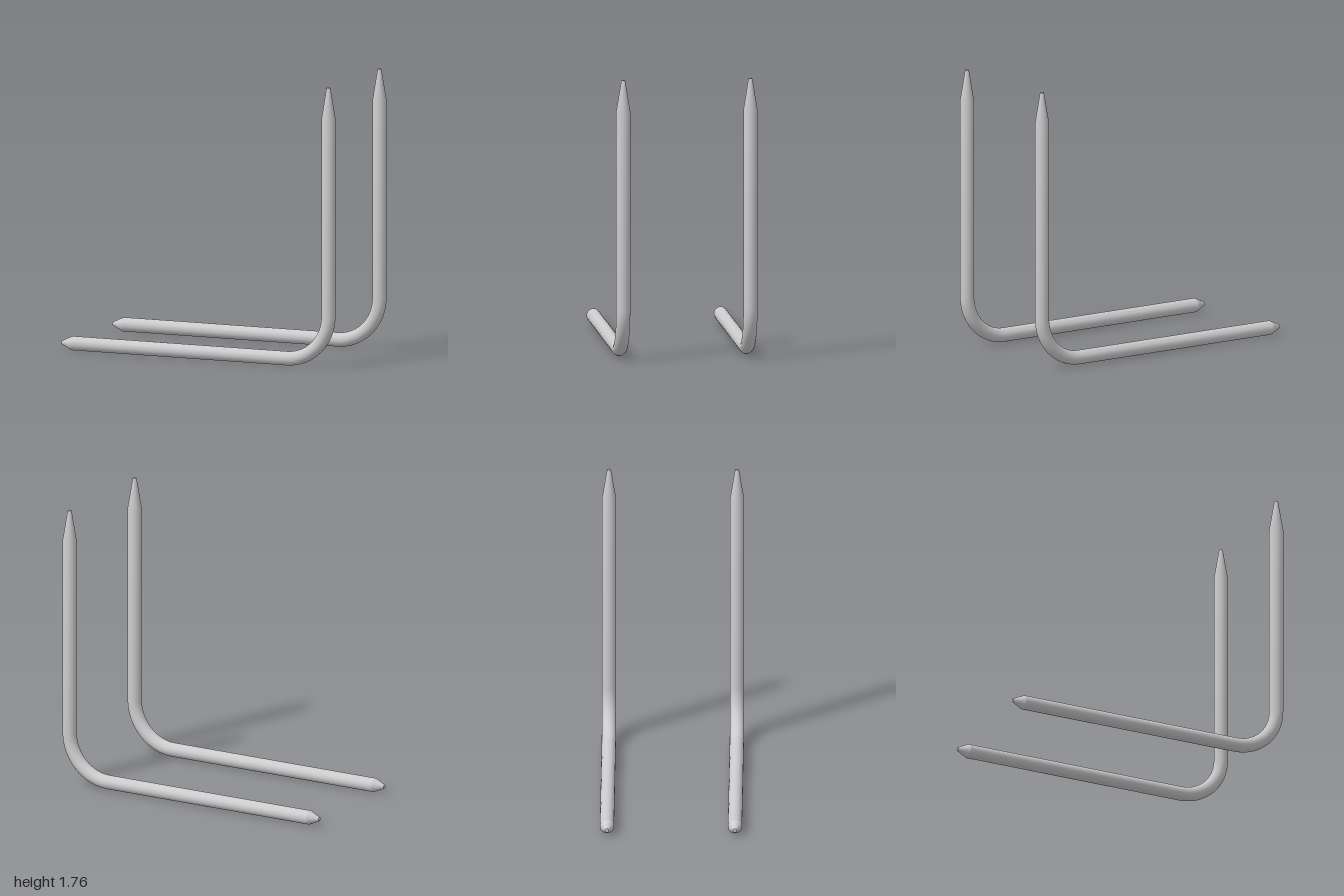
import * as THREE from 'three';
import { toCreasedNormals } from 'three/addons/utils/BufferGeometryUtils.js';

const R = 0.044;        // rod radius
const TIP = 0.012;      // radius of the blunt points
const BEND = 0.28;      // bend radius of the centre line
const AXIS_Y = 0.048;   // height of the lying leg's centre line
const TOP = 1.765;      // height of the upright point
const REACH = 1.804;    // length of the lying leg from the upright axis

// Stations along the centre line: position, tilt of the section, radius
function stations() {
  const list = [
    { x: 0, y: TOP, a: 0, r: TIP },
    { x: 0, y: 1.57, a: 0, r: R },
  ];
  const steps = 12;
  for (let i = 0; i <= steps; i++) {
    const a = (i / steps) * Math.PI / 2;
    list.push({
      x: -BEND + BEND * Math.cos(a),
      y: AXIS_Y + BEND - BEND * Math.sin(a),
      a, r: R,
    });
  }
  list.push({ x: -REACH + 0.07, y: AXIS_Y, a: Math.PI / 2, r: R });
  list.push({ x: -REACH, y: AXIS_Y, a: Math.PI / 2, r: TIP });
  return list;
}

// A capped unit cylinder whose rows are moved onto the stations
function bentRodGeometry() {
  const path = stations();
  const rows = path.length - 1;
  const geo = new THREE.CylinderGeometry(1, 1, 1, 24, rows);
  const pos = geo.attributes.position;
  for (let i = 0; i < pos.count; i++) {
    const s = path[Math.round((0.5 - pos.getY(i)) * rows)];
    const u = pos.getX(i) * s.r;
    const w = pos.getZ(i) * s.r;
    pos.setXYZ(i, s.x + u * Math.cos(s.a), s.y - u * Math.sin(s.a), w);
  }
  return toCreasedNormals(geo, 0.35);
}

export function createModel() {
  const model = new THREE.Group();
  model.name = 'bentRodPair';
  const material = new THREE.MeshStandardMaterial({ color: 0xcccccc });
  const geometry = bentRodGeometry();

  // Two identical rods, side by side and turned 15 degrees
  const places = [
    ['frontBentRod', 0.956, 0.157],
    ['backBentRod', 0.746, -0.608],
  ];
  for (const [name, x, z] of places) {
    const rod = new THREE.Mesh(geometry, material);
    rod.name = name;
    rod.position.set(x, 0, z);
    rod.rotation.y = THREE.MathUtils.degToRad(15);
    model.add(rod);
  }
  return model;
}
